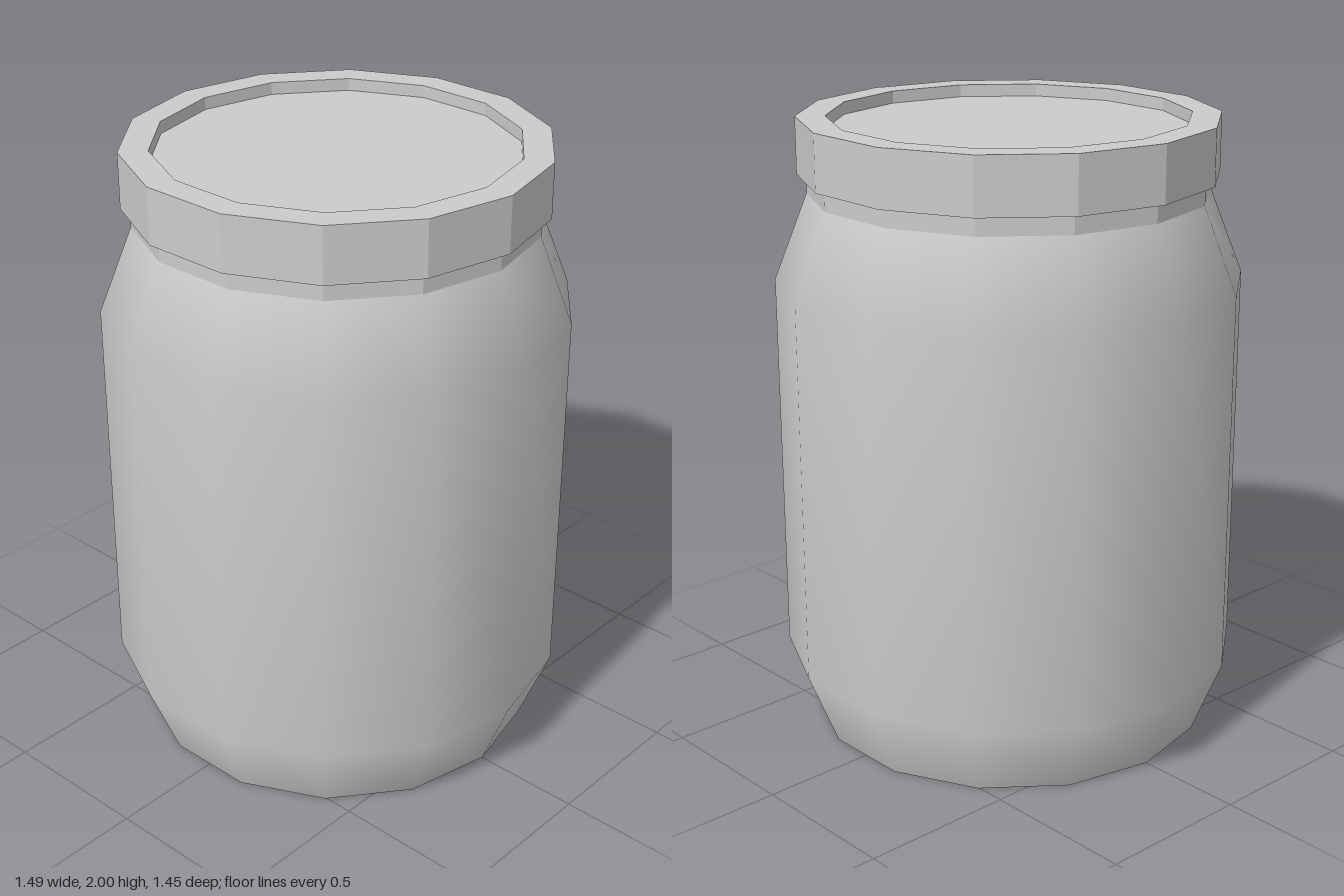
import * as THREE from 'three';

const SIDES = 14;

// Revolves a [radius, height] profile, with one corner on +x
function turned(name, profile, flatShading) {
  const points = profile.map(([r, y]) => new THREE.Vector2(r, y));
  const geometry = new THREE.LatheGeometry(points, SIDES, Math.PI / 2);
  const mesh = new THREE.Mesh(geometry, new THREE.MeshStandardMaterial({ color: 0xcccccc, flatShading }));
  mesh.name = name;
  return mesh;
}

export function createModel() {
  const jar = new THREE.Group();
  jar.name = 'jar';

  // Smooth body with tapered foot and shoulder
  jar.add(turned('body', [[0.645, 0], [0.743, 0.245], [0.743, 1.485], [0.635, 1.76]], false));

  // Flat base
  jar.add(turned('base', [[0, 0], [0.645, 0]], true));

  // Short faceted neck under the lid
  jar.add(turned('neck', [[0.635, 1.76], [0.635, 1.82]], true));

  // Faceted lid with a raised rim around a sunken top
  jar.add(turned('lid', [
    [0.635, 1.82], [0.664, 1.82], [0.664, 2], [0.571, 2], [0.571, 1.96], [0, 1.96],
  ], true));

  return jar;
}
